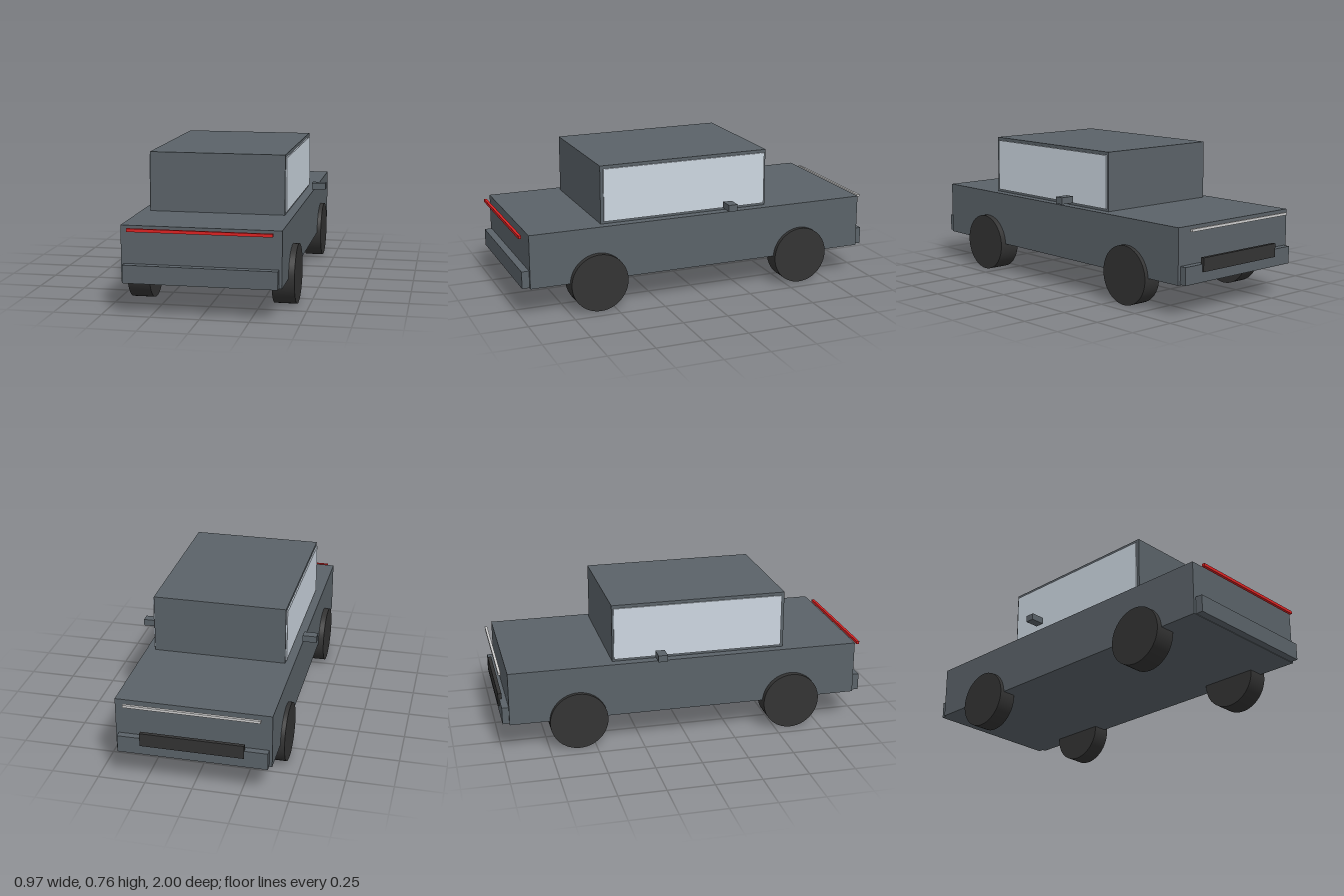
import * as THREE from 'three';

const paint = new THREE.MeshStandardMaterial({ color: 0x5a6268 });
const rubber = new THREE.MeshStandardMaterial({ color: 0x333333 });
const glass = new THREE.MeshStandardMaterial({ color: 0xccd6e0 });
const red = new THREE.MeshStandardMaterial({ color: 0xdd2222 });
const white = new THREE.MeshStandardMaterial({ color: 0xe8e8e8 });

export function createModel() {
  const car = new THREE.Group();
  car.name = 'car';

  // Box given by its extents on each axis
  const box = (name, material, [x0, x1], [y0, y1], [z0, z1]) => {
    const mesh = new THREE.Mesh(new THREE.BoxGeometry(x1 - x0, y1 - y0, z1 - z0), material);
    mesh.position.set((x0 + x1) / 2, (y0 + y1) / 2, (z0 + z1) / 2);
    mesh.name = name;
    car.add(mesh);
  };

  // Body and cabin
  box('body', paint, [-0.405, 0.405], [0.163, 0.452], [-0.957, 0.957]);
  box('cabin', paint, [-0.357, 0.357], [0.452, 0.765], [-0.395, 0.555]);

  // Bumpers, light bars and the dark plate
  box('frontBumper', paint, [-0.39, 0.39], [0.166, 0.258], [0.95, 0.997]);
  box('rearBumper', paint, [-0.39, 0.39], [0.166, 0.258], [-0.993, -0.95]);
  box('plate', rubber, [-0.27, 0.27], [0.218, 0.29], [-1, -0.98]);
  box('frontLightBar', red, [-0.365, 0.365], [0.427, 0.443], [0.985, 1]);
  box('rearLightBar', white, [-0.353, 0.353], [0.43, 0.444], [-1, -0.986]);

  for (const [side, s] of [['left', 1], ['right', -1]]) {
    const span = (a, b) => (s > 0 ? [a, b] : [-b, -a]);

    // Side window and mirror
    box(side + 'Window', glass, span(0.35, 0.364), [0.465, 0.748], [-0.385, 0.538]);
    box(side + 'Mirror', paint, span(0.41, 0.487), [0.477, 0.513], [-0.172, -0.122]);

    // Wheels, the front pair slightly wider
    for (const [end, z, width] of [['Front', 0.588, 0.117], ['Rear', -0.59, 0.1]]) {
      const wheel = new THREE.Mesh(new THREE.CylinderGeometry(0.156, 0.156, width, 48), rubber);
      wheel.rotation.z = Math.PI / 2;
      wheel.position.set(s * 0.377, 0.156, z);
      wheel.name = side + end + 'Wheel';
      car.add(wheel);
    }
  }
  return car;
}
